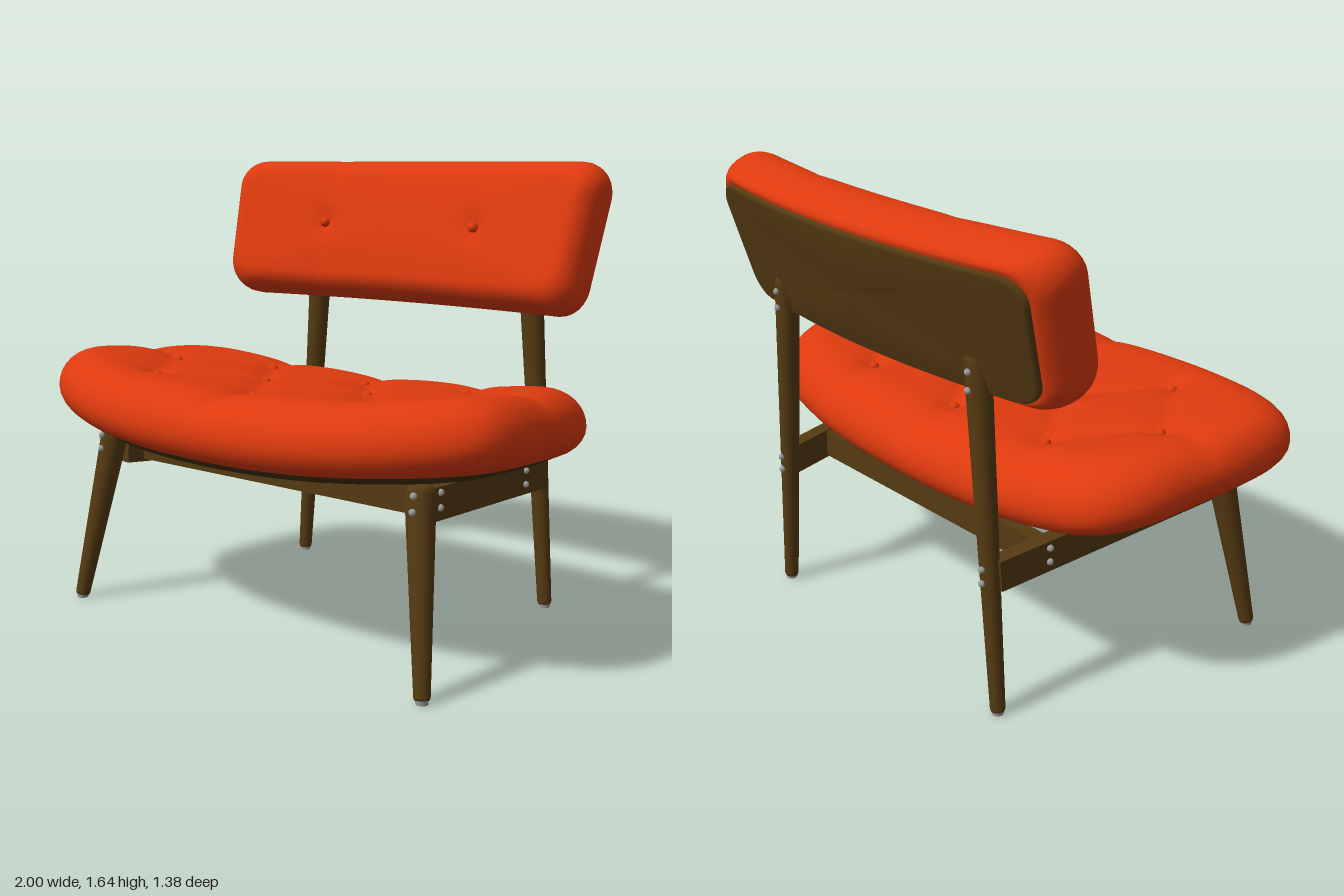
import * as THREE from 'three';

const mat = (name, color, side = THREE.FrontSide) => {
  const m = new THREE.MeshStandardMaterial({ color, side });
  m.name = name;
  return m;
};
const V = (x, y, z) => new THREE.Vector3(x, y, z);

// Closed loops of points, lofted from the first row to the last
function loft(rows, count, point) {
  const pos = [], index = [];
  rows.forEach((row) => {
    for (let i = 0; i < count; i++) pos.push(...point(row, i));
  });
  for (let r = 0; r < rows.length - 1; r++) {
    for (let i = 0; i < count; i++) {
      const j = (i + 1) % count;
      const a = r * count + i, b = a + count, c = (r + 1) * count + j, d = r * count + j;
      index.push(a, b, c, a, c, d);
    }
  }
  const g = new THREE.BufferGeometry();
  g.setAttribute('position', new THREE.Float32BufferAttribute(pos, 3));
  g.setIndex(index);
  g.computeVertexNormals();
  return g;
}

// Cushion rows: flat face, rounded rim, tucked-in underside
// each row: scale across, scale along, height, groove strength, dome parameter
function cushionRows(kx, kz, up, mid, low, tuckX, tuckZ) {
  const rows = [];
  for (let i = 0; i <= 34; i++) {
    const t = i / 34;
    rows.push({ kx: kx * t, kz: kz * t, w: up, groove: 1, t });
  }
  for (let i = 1; i <= 9; i++) {
    const a = (1 - i / 9) * Math.PI / 2, c = Math.cos(a), s = Math.sin(a);
    rows.push({ kx: kx + (1 - kx) * c, kz: kz + (1 - kz) * c, w: mid + (up - mid) * s, groove: s, t: 1 });
  }
  for (let i = 1; i <= 6; i++) {
    const a = i / 6 * Math.PI / 2, c = 1 - Math.cos(a);
    rows.push({ kx: 1 - tuckX * c, kz: 1 - tuckZ * c, w: mid + (low - mid) * Math.sin(a), groove: 0, t: 1 });
  }
  rows.push({ kx: 0, kz: 0, w: low, groove: 0, t: 1 });
  return rows;
}

const plateRows = (list) => list.map(([kx, kz, w]) => ({ kx, kz, w, groove: 0, t: 1 }));

function segDist(x, z, [ax, az], [bx, bz]) {
  const dx = bx - ax, dz = bz - az;
  const t = THREE.MathUtils.clamp(((x - ax) * dx + (z - az) * dz) / (dx * dx + dz * dz), 0, 1);
  return Math.hypot(x - ax - dx * t, z - az - dz * t);
}

// Seat: outline, curved base and tufting pattern (right half, mirrored)
const half = [[0, 0.685], [0.5, 0.655], [0.84, 0.54], [0.97, 0.43], [1, 0.32], [0.97, 0], [0.92, -0.24], [0.83, -0.36], [0.6, -0.43], [0, -0.46]];
const A = [0, -0.21], B = [0.46, -0.21], C = [0.24, 0.07], D = [0.72, 0.06], E = [0, 0.385], F = [0.5, 0.37];
const seams = [[A, C], [B, C], [B, D], [C, E], [C, F], [D, F], [D, [1, 0.04]], [E, [0, 0.65]], [B, [0.46, -0.45]], [A, [0, -0.45]]];
const seatBase = (x, z) => 0.62 + 0.06 * z + 0.08 * x * x;
function seatDent(x, z) {
  const ax = Math.abs(x);
  const d = Math.min(...seams.map(([p, q]) => segDist(ax, z, p, q)));
  const b = Math.min(...[A, B, C, D, E, F].map((p) => Math.hypot(ax - p[0], z - p[1])));
  return 0.024 * Math.exp(-d / 0.08) + 0.014 * Math.exp(-((b / 0.05) ** 2));
}
const SEAT_TOP = 0.24;

// Backrest: local width u, height v, depth w, bent in plan and leaned back
const LEAN = 0.28;
function backPoint(u, v, w) {
  const x = u * (1 + 0.1 * v);
  return [x, 1.37 + v * Math.cos(LEAN) + w * Math.sin(LEAN), -0.52 + w * Math.cos(LEAN) - v * Math.sin(LEAN) + 0.13 * x * x];
}
const backDent = (u, v) => {
  const d = Math.abs(Math.abs(u) - 0.35);
  return 0.01 * Math.exp(-d / 0.07) + 0.012 * Math.exp(-((Math.hypot(d, v) / 0.05) ** 2));
};

export function createModel() {
  const root = new THREE.Group();
  root.name = 'loungeChair';
  const red = mat('redUpholstery', 0xdd3a0e);
  const wood = mat('darkWood', 0x553a12);
  const shell = mat('seatShellWood', 0x432e10);
  const metal = mat('metal', 0x9a9a9a);
  const grey = mat('greyPanel', 0x7c7777, THREE.DoubleSide);

  const add = (name, geo, m, p) => {
    const mesh = new THREE.Mesh(geo, m);
    mesh.name = name;
    if (p) mesh.position.copy(p);
    root.add(mesh);
    return mesh;
  };

  // Seat cushion and the board beneath it
  const outline = [...half, ...half.slice(1, -1).reverse().map(([x, z]) => [-x, z])];
  const N = 160;
  const seatLoop = new THREE.CatmullRomCurve3(outline.map(([x, z]) => V(x, 0, z)), true, 'centripetal').getSpacedPoints(N);
  const seatPoint = (r, i) => {
    const x = seatLoop[i].x * r.kx, z = 0.1 + (seatLoop[i].z - 0.1) * r.kz;
    return [x, seatBase(x, z) + r.w - r.groove * seatDent(x, z), z];
  };
  add('seatCushion', loft(cushionRows(0.86, 0.68, SEAT_TOP, 0.09, 0.0, 0.1, 0.15), N, seatPoint), red);
  add('seatBoard', loft(plateRows([[0.94, 0.92, 0.025], [0.915, 0.88, 0], [0.86, 0.83, -0.02], [0.4, 0.4, -0.02], [0, 0, -0.02]]), N, seatPoint), shell);

  // Grey panel under the seat, bent to follow the board
  const panel = new THREE.PlaneGeometry(0.8, 0.33, 12, 1).rotateX(Math.PI / 2).translate(0, 0, 0.115);
  const pp = panel.attributes.position;
  for (let i = 0; i < pp.count; i++) pp.setY(i, seatBase(pp.getX(i), pp.getZ(i)) - 0.026);
  panel.computeVertexNormals();
  add('undersidePanel', panel, grey);

  // Backrest cushion and its rear board
  const hw = 0.82, hh = 0.27, cr = 0.1, path = new THREE.Path();
  [[1, 1], [-1, 1], [-1, -1], [1, -1]].forEach(([sx, sy], k) =>
    path.absarc(sx * (hw - cr), sy * (hh - cr), cr, k * Math.PI / 2, (k + 1) * Math.PI / 2, false));
  path.closePath();
  const backLoop = path.getSpacedPoints(N);
  const backLocal = (r, i) => {
    const u = backLoop[i].x * r.kx, v = backLoop[i].y * r.kz;
    return backPoint(u, v, r.w + r.groove * (0.012 * (1 - r.t * r.t) - backDent(u, v)));
  };
  add('backrestCushion', loft(cushionRows(0.9, 0.7, 0.12, 0, -0.105, 0.07, 0.16), N, backLocal), red);
  add('backrestBoard', loft(plateRows([[0.925, 0.82, -0.09], [0.925, 0.82, -0.115], [0.91, 0.79, -0.125], [0.5, 0.4, -0.125], [0, 0, -0.125]]), N, backLocal), wood);

  // Upholstery buttons
  const buttonGeo = new THREE.SphereGeometry(0.019, 14, 10);
  const button = (x, y, z) => add('button', buttonGeo, red, V(x, y, z));
  [A, B, C, D, E, F].forEach(([x, z]) => {
    (x ? [x, -x] : [0]).forEach((bx) => button(bx, seatBase(bx, z) + SEAT_TOP - seatDent(bx, z) + 0.003, z));
  });
  [-0.35, 0.35].forEach((x) => button(...backPoint(x, 0, 0.118)));

  // Tapered leg with a domed top
  const leg = (name, foot, top, r0, r1) => {
    const len = foot.distanceTo(top);
    const prof = [[0, 0], [r0 * 0.9, 0], [r0, 0.008], [r1, len - 0.035], [r1 * 0.85, len - 0.014], [r1 * 0.5, len - 0.003], [0, len]];
    const m = add(name, new THREE.LatheGeometry(prof.map(([x, y]) => new THREE.Vector2(x, y)), 24), wood, foot);
    m.quaternion.setFromUnitVectors(V(0, 1, 0), top.clone().sub(foot).normalize());
    add('footGlide', new THREE.CylinderGeometry(0.022, 0.02, 0.02, 16), metal, V(foot.x, 0.01, foot.z));
  };
  const screwGeo = new THREE.SphereGeometry(0.012, 10, 8);
  const screw = (x, y, z) => add('screw', screwGeo, metal, V(x, y, z));

  for (const s of [1, -1]) {
    leg('frontLeg', V(s * 0.805, 0.013, 0.497), V(s * 0.71, 0.66, 0.39), 0.027, 0.05);
    leg('backLeg', V(s * 0.595, 0.013, -0.545), V(s * 0.5, 1.26, -0.543), 0.026, 0.044);

    // Side rail sloping down to the back leg
    const a = V(s * 0.69, 0.577, 0.37), b = V(s * 0.572, 0.513, -0.53);
    const rail = add('sideRail', new THREE.BoxGeometry(0.055, 0.11, a.distanceTo(b)), wood, a.clone().add(b).multiplyScalar(0.5));
    rail.lookAt(a);

    // Screws on legs and rails
    [0.63, 0.58].forEach((y) => screw(s * 0.727, y, 0.447 + (0.63 - y) * 0.1));
    [0.61, 0.56].forEach((y) => screw(s * 0.708, y - 0.002, 0.28));
    [0.56, 0.51].forEach((y) => screw(s * 0.627, y - 0.002, -0.345));
    [0.49, 0.54].forEach((y) => screw(s * 0.557, y, -0.579));
    [1.14, 1.2].forEach((y) => screw(s * 0.507, y, -0.587));
  }

  // Cross bars between the side rails
  add('frontCrossBar', new THREE.BoxGeometry(1.32, 0.1, 0.055), wood, V(0, 0.577, 0.28));
  add('backCrossBar', new THREE.BoxGeometry(1.16, 0.1, 0.055), wood, V(0, 0.525, -0.34));
  return root;
}
